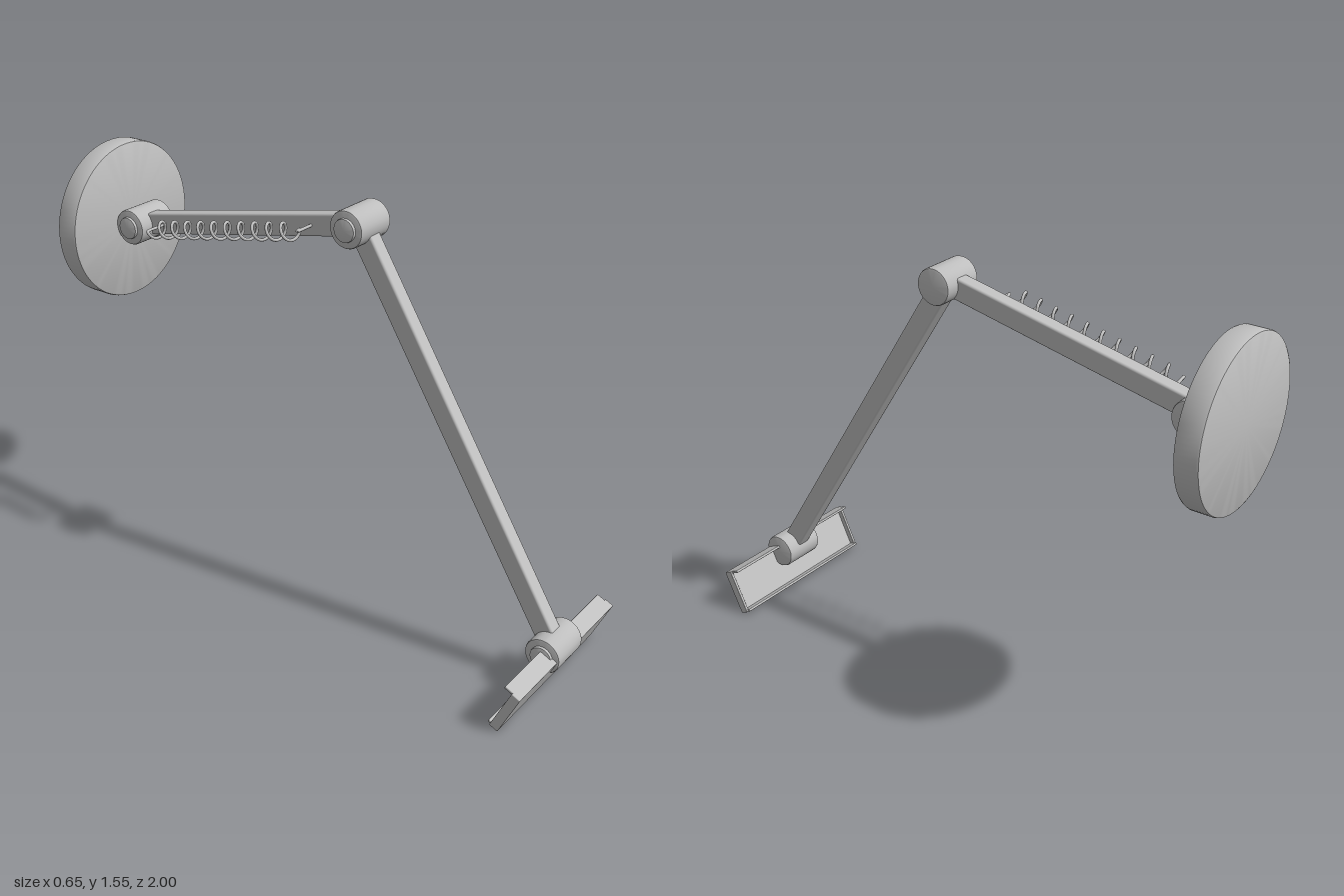
import * as THREE from 'three';
import { toCreasedNormals } from 'three/addons/utils/BufferGeometryUtils.js';
import { RoundedBoxGeometry } from 'three/addons/geometries/RoundedBoxGeometry.js';

const grey = new THREE.MeshStandardMaterial({ color: 0xbfbfbf });
grey.name = 'satin grey';

// Joint centres
const WALL = new THREE.Vector3(0, 1.27, -0.85);
const ELBOW = new THREE.Vector3(0, 1.47, 0.12);
const HEAD = new THREE.Vector3(0, 0.16, 0.932);

function part(name, geometry, parent) {
  const mesh = new THREE.Mesh(geometry, grey);
  mesh.name = name;
  parent.add(mesh);
  return mesh;
}

// Solid disc along y with softened rims
function bevelledCylinder(radius, length, bevel, segments) {
  const h = length / 2;
  const k = bevel * 0.3;
  const profile = [
    [0, -h], [radius - bevel, -h], [radius - k, -h + k], [radius, -h + bevel],
    [radius, h - bevel], [radius - k, h - k], [radius - bevel, h], [0, h],
  ].map(([x, y]) => new THREE.Vector2(x, y));
  return toCreasedNormals(new THREE.LatheGeometry(profile, segments), 0.6);
}

// Barrel hinge across x with a small cap on its right end
function addJoint(name, center, parent) {
  const joint = new THREE.Group();
  joint.name = name;
  joint.position.copy(center);
  part('barrel', bevelledCylinder(0.065, 0.162, 0.008, 40).rotateZ(Math.PI / 2), joint);
  const cap = part('hingeCap', bevelledCylinder(0.04, 0.02, 0.003, 32).rotateZ(Math.PI / 2), joint);
  cap.position.x = -0.082;
  parent.add(joint);
}

// Straight bar between two joints
function addArm(name, from, to, parent) {
  const arm = part(name, new RoundedBoxGeometry(0.056, 0.077, from.distanceTo(to), 2, 0.008), parent);
  arm.position.copy(from).lerp(to, 0.5);
  arm.lookAt(to);
}

// Coil spring beside the upper arm, its ends bent into the arm
function addSpring(parent) {
  const axis = ELBOW.clone().sub(WALL).normalize();
  const up = new THREE.Vector3(1, 0, 0).cross(axis).normalize();
  const start = WALL.clone().lerp(ELBOW, 0.135);
  const end = WALL.clone().lerp(ELBOW, 0.815);
  const offset = -0.102, radius = 0.029, turns = 10.5, steps = 252;
  const points = [start.clone().setX(-0.02), start.clone().setX(-0.06)];
  for (let i = 0; i <= steps; i++) {
    const t = i / steps;
    const a = t * turns * Math.PI * 2;
    const p = start.clone().lerp(end, 0.015 + 0.97 * t);
    p.x = offset - Math.cos(a) * radius;
    p.addScaledVector(up, Math.sin(a) * radius);
    points.push(p);
  }
  points.push(end.clone().setX(offset), end.clone().setX(-0.06), end.clone().setX(-0.02));
  const path = new THREE.CatmullRomCurve3(points);
  part('spring', new THREE.TubeGeometry(path, 560, 0.0055, 8), parent);
}

// Shallow tray: front panel, long lips and end walls, open at the back
function addHead(parent) {
  const head = new THREE.Group();
  head.name = 'lampHead';
  head.position.set(0, 0.081, 0.953);
  head.rotation.x = 0.434;
  const height = 0.176;
  const panel = part('panel', new RoundedBoxGeometry(0.65, height, 0.014, 2, 0.004), head);
  panel.position.z = -0.007;
  const lips = [['topLip', 1, 0.065], ['bottomLip', -1, 0.045]];
  for (const [name, side, depth] of lips) {
    const lip = part(name, new RoundedBoxGeometry(0.636, 0.01, depth, 2, 0.003), head);
    lip.position.set(0, side * (height / 2 - 0.005), -depth / 2);
  }
  for (const side of [-1, 1]) {
    const wall = part('endWall', new RoundedBoxGeometry(0.012, height, 0.034, 2, 0.003), head);
    wall.position.set(side * 0.319, 0, -0.017);
  }
  parent.add(head);
}

export function createModel() {
  const model = new THREE.Group();
  model.name = 'wallLamp';

  // Round mounting plate
  const mount = part('wallMount', bevelledCylinder(0.29, 0.086, 0.009, 96).rotateX(Math.PI / 2), model);
  mount.position.set(0, 1.267, -0.955);

  addJoint('wallJoint', WALL, model);
  addJoint('elbowJoint', ELBOW, model);
  addJoint('headJoint', HEAD, model);
  addArm('upperArm', WALL, ELBOW, model);
  addArm('lowerArm', ELBOW, HEAD, model);
  addSpring(model);
  addHead(model);
  return model;
}
